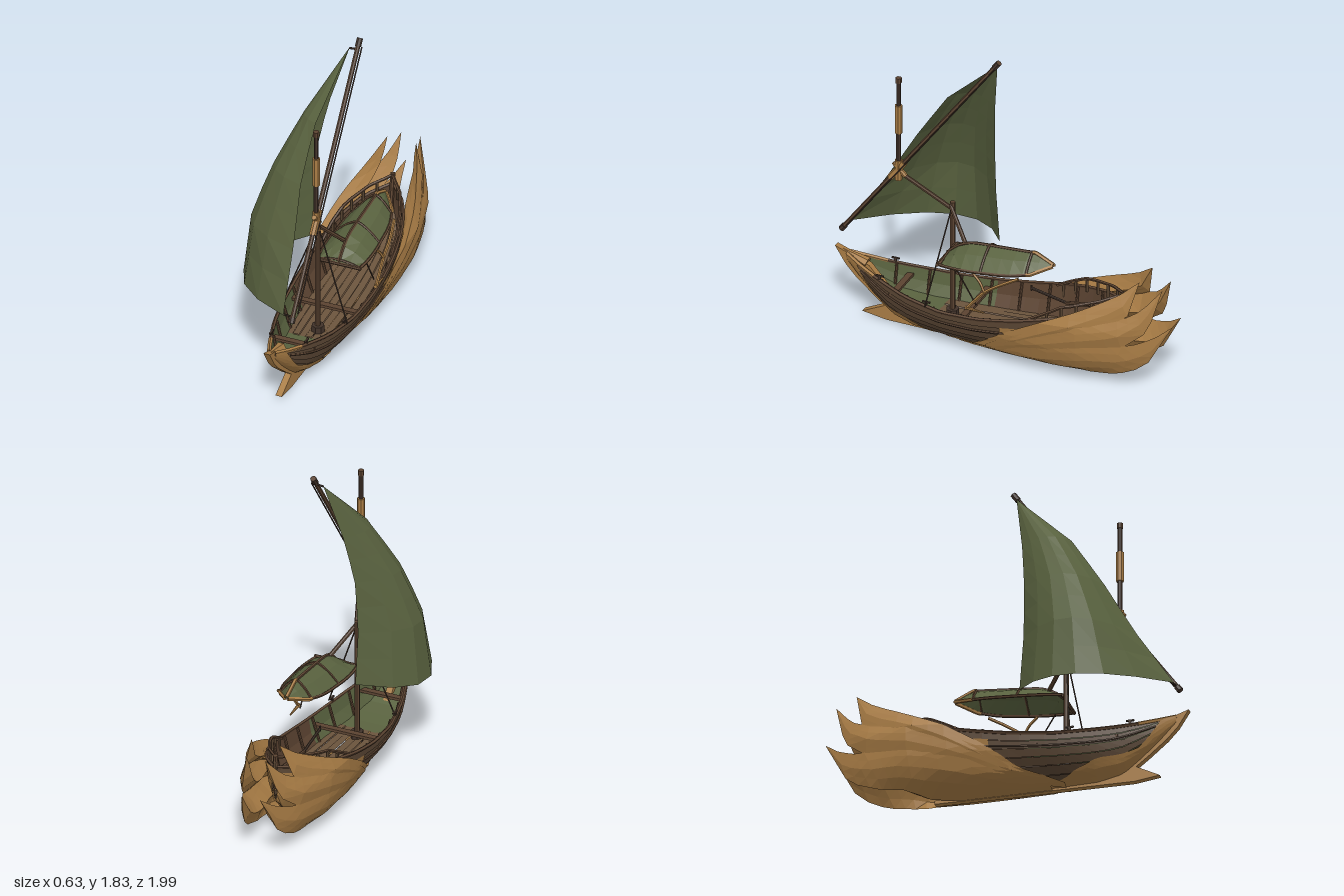
import * as THREE from 'three';

const material = (name, color) => {
  const m = new THREE.MeshStandardMaterial({ color, side: THREE.DoubleSide, flatShading: true });
  m.name = name;
  return m;
};
const V = (p) => new THREE.Vector3(...p);
const mix = (a, b, t) => a + (b - a) * t;

// Piecewise linear lookup: rows are [key, value...] with rising keys
function lookup(rows, k) {
  if (k <= rows[0][0]) return rows[0].slice(1);
  for (let i = 1; i < rows.length; i++) {
    const a = rows[i - 1], b = rows[i];
    if (k <= b[0]) return a.slice(1).map((q, j) => mix(q, b[j + 1], (k - a[0]) / (b[0] - a[0])));
  }
  return rows[rows.length - 1].slice(1);
}

// Hull stations: z, half width, sheer height, keel height
const STATIONS = [
  [-0.69, 0.008, 0.44, 0.25], [-0.58, 0.1, 0.415, 0.12], [-0.45, 0.16, 0.385, 0.05],
  [-0.3, 0.2, 0.35, 0.02], [-0.1, 0.217, 0.3, 0.01], [0.1, 0.217, 0.265, 0.01],
  [0.3, 0.202, 0.25, 0.01], [0.5, 0.165, 0.26, 0.015], [0.64, 0.122, 0.28, 0.045],
  [0.74, 0.088, 0.3, 0.125], [0.84, 0.052, 0.325, 0.215], [0.93, 0.015, 0.352, 0.31],
];
const SECTION = [[0, 0], [0.18, 0.52], [0.45, 0.8], [0.72, 0.95], [1, 1]];
// Wing half width along z and its narrowing with height
const WING_PLAN = [[-1, 0.05], [-0.74, 0.17], [-0.5, 0.23], [-0.3, 0.243], [-0.1, 0.237], [0.05, 0.228], [0.35, 0.197]];
const WING_RISE = [[0, 0.05], [0.02, 0.3], [0.05, 0.52], [0.08, 0.68], [0.2, 0.89], [0.36, 1], [0.5, 0.85], [0.65, 0.6]];

function hullPoint(z, g, side, out = 0) {
  const [w, top, keel] = lookup(STATIONS, z);
  const x = Math.max(0, w * lookup(SECTION, g)[0] + out);
  return [side * x, keel + (top - keel) * g, z];
}
// Half width of the hull at a given height
function hullHalf(z, y) {
  const [, top, keel] = lookup(STATIONS, z);
  return hullPoint(z, (y - keel) / (top - keel), 1)[0];
}

export function createModel() {
  const gold = material('golden wood', 0xa87c45);
  const plank = material('hull wood', 0x584432);
  const deckWood = material('deck wood', 0x6b543d);
  const trim = material('trim wood', 0x5b4331);
  const dark = material('dark pole', 0x42332a);
  const green = material('green cloth', 0x59623f);

  const model = new THREE.Group();
  const hull = new THREE.Group();
  hull.name = 'hull';
  hull.position.x = 0.047;
  model.add(hull);

  const add = (geo, mat, name, parent = model) => {
    const m = new THREE.Mesh(geo, mat);
    m.name = name;
    parent.add(m);
    return m;
  };
  // Surface swept by fn(u, v) -> [x, y, z]
  const patch = (fn, nu, nv, mat, name, parent = model) => {
    const pos = [], idx = [];
    for (let i = 0; i <= nu; i++) for (let j = 0; j <= nv; j++) pos.push(...fn(i / nu, j / nv));
    for (let i = 0; i < nu; i++) for (let j = 0; j < nv; j++) {
      const a = i * (nv + 1) + j, b = a + nv + 1;
      idx.push(a, b, a + 1, b, b + 1, a + 1);
    }
    const geo = new THREE.BufferGeometry();
    geo.setAttribute('position', new THREE.Float32BufferAttribute(pos, 3));
    geo.setIndex(idx);
    geo.computeVertexNormals();
    return add(geo, mat, name, parent);
  };
  const rod = (a, b, r, mat, name, parent = model, r2 = r) => {
    const p = V(a), d = V(b).sub(p);
    const m = add(new THREE.CylinderGeometry(r2, r, d.length(), 7), mat, name, parent);
    m.position.copy(p).addScaledVector(d, 0.5);
    m.quaternion.setFromUnitVectors(new THREE.Vector3(0, 1, 0), d.normalize());
    return m;
  };
  const tube = (pts, r, mat, name, parent = model) =>
    add(new THREE.TubeGeometry(new THREE.CatmullRomCurve3(pts.map(V)), 24, r, 5), mat, name, parent);
  const box = (w, h, d, x, y, z, mat, name, parent = model) => {
    const m = add(new THREE.BoxGeometry(w, h, d), mat, name, parent);
    m.position.set(x, y, z);
    return m;
  };

  // Feathers of the wings as upper and lower edges of [z, y]
  const FEATHERS = [
    { up: [[0.33, 0.02], [0.1, 0.09], [0, 0.17], [-0.1, 0.24], [-0.3, 0.36], [-0.5, 0.455], [-0.7, 0.56], [-0.81, 0.65]],
      low: [[0.33, 0.005], [0.1, 0.03], [-0.05, 0.08], [-0.15, 0.14], [-0.3, 0.22], [-0.5, 0.32], [-0.76, 0.43], [-0.81, 0.65]], out: 0.006 },
    { up: [[0.05, 0.1], [-0.1, 0.21], [-0.3, 0.31], [-0.5, 0.375], [-0.7, 0.42], [-0.83, 0.49], [-0.93, 0.61]],
      low: [[0.05, 0.05], [-0.1, 0.08], [-0.3, 0.13], [-0.5, 0.2], [-0.72, 0.25], [-0.87, 0.37], [-0.93, 0.61]], out: 0.014 },
    { up: [[0.25, 0.03], [0, 0.07], [-0.2, 0.17], [-0.4, 0.25], [-0.6, 0.275], [-0.78, 0.28], [-0.9, 0.33], [-0.99, 0.4]],
      low: [[0.25, 0], [0, 0], [-0.2, 0], [-0.4, 0.01], [-0.55, 0.055], [-0.68, 0.07], [-0.85, 0.14], [-0.99, 0.4]], out: 0.02 },
  ];
  const edgeAt = (pts, u) => lookup(pts.map((p, i) => [i / (pts.length - 1), ...p]), u);
  // Upper limit of the golden bow cheeks
  const CHEEK = [[0, 0.04], [0.33, 0.1], [0.52, 0.38], [0.63, 0.36], [0.74, 0.28], [0.8, 0.42], [0.865, 1]];

  for (const s of [1, -1]) {
    // Lapped strakes
    for (let k = 0; k < 6; k++) patch((u, v) =>
      hullPoint(mix(-0.69, 0.93, u), (k + v) / 6, s, k ? 0.006 * (1 - v) : 0), 24, 1, plank, 'strake', hull);
    // Inner lining
    patch((u, v) => hullPoint(mix(-0.68, 0.15, u), mix(0.4, 1, v), s, -0.008), 10, 2, trim, 'aftLining', hull);
    patch((u, v) => hullPoint(mix(0.15, 0.9, u), mix(0.4, 1, v), s, -0.008), 8, 2, green, 'foreLining', hull);
    // Golden shell under the stern
    patch((u, v) => hullPoint(mix(-0.7, -0.05, u), v * 0.85, s, 0.009), 10, 5, gold, 'sternShell', hull);
    // Rails
    const line = (g, a, b, out) => Array.from({ length: 14 }, (_, i) => hullPoint(mix(a, b, i / 13), g, s, out));
    tube(line(1, -0.69, 0.74, 0), 0.011, trim, 'sheerRail', hull);
    tube(line(1, 0.74, 0.93, 0), 0.012, gold, 'bowRail', hull);
    tube(line(0.72, -0.1, 0.83, 0.006), 0.006, trim, 'beltRail', hull);
    const raised = line(1, -0.69, -0.2, -0.012).map(([x, y, z], i) => [x, y + 0.06 * Math.min(1, (13 - i) / 5), z]);
    tube(raised, 0.009, trim, 'sternRail', hull);
    raised.filter((_, i) => i % 2 === 0).forEach(([x, y, z]) =>
      rod([x, y - 0.08, z], [x, y, z], 0.009, deckWood, 'railPost', hull));
    // Frames inside the hull
    for (let z = -0.5; z < 0.75; z += 0.17)
      rod(hullPoint(z, 0.45, s, -0.012), hullPoint(z, 1, s, -0.012), 0.008, trim, 'frame', hull);
    // Golden bow cheeks
    patch((u, v) => {
      const z = mix(0, 0.93, u);
      return hullPoint(z, v * lookup(CHEEK, z)[0], s, 0.011);
    }, 24, 4, gold, 'bowCheek', hull);
    // Layered wing feathers, each a lens with an outer and an inner face, kept outside the hull
    for (const f of FEATHERS) for (const thick of [0.014, -0.09]) {
      patch((u, v) => {
        const a = edgeAt(f.low, u), b = edgeAt(f.up, u);
        const z = mix(a[0], b[0], v), y = mix(a[1], b[1], v);
        const half = lookup(WING_PLAN, z)[0] * lookup(WING_RISE, y)[0];
        const fold = thick * (1 - Math.abs(2 * v - 1)) * Math.sin(Math.PI * u ** 1.4);
        const x = half + f.out * Math.min(1, y / 0.06) * (1 - u) + fold;
        return [s * Math.max(x, y > 0.06 ? hullHalf(z, y) + 0.01 : 0), y, z];
      }, 16, 4, gold, 'wingFeather', hull);
    }
    // Cleats
    for (const z of [0.39, 0.7]) {
      const [x, y] = hullPoint(z, 1, s);
      box(0.012, 0.02, 0.012, x, y + 0.015, z, dark, 'cleatPost', hull);
      box(0.01, 0.008, 0.045, x, y + 0.026, z, dark, 'cleat', hull);
    }
  }

  // Deck planks with narrow gaps, and a green fore deck
  for (let k = 0; k < 8; k++) patch((u, v) => {
    const p = hullPoint(mix(-0.66, 0.4, u), 0.45, 1, -0.004);
    return [p[0] * (-1 + (k + 0.04 + 0.92 * v) / 4), p[1] + (k % 2) * 0.004, p[2]];
  }, 10, 1, deckWood, 'deckPlank', hull);
  patch((u, v) => {
    const p = hullPoint(mix(0.4, 0.9, u), 0.45, 1, -0.004);
    return [p[0] * (2 * v - 1), p[1], p[2]];
  }, 6, 1, green, 'foreDeck', hull);
  for (const z of [0.2, 0.62]) {
    const p = hullPoint(z, 0.8, 1);
    box(p[0] * 2, 0.016, 0.035, 0, p[1], z, trim, 'thwart', hull);
  }

  // Stem with beak and lower prong, and keel
  const stem = new THREE.Shape();
  [[1, 0.385], [0.9, 0.35], [0.8, 0.31], [0.7, 0.2], [0.6, 0.09], [0.3, 0.03], [-0.4, 0.02], [-0.4, 0],
    [0.7, 0], [0.84, 0.02], [0.77, 0.055], [0.71, 0.085], [0.78, 0.14], [0.88, 0.225], [0.94, 0.29]]
    .forEach(([z, y], i) => (i ? stem.lineTo(z, y) : stem.moveTo(z, y)));
  const stemGeo = new THREE.ExtrudeGeometry(stem, { depth: 0.036, bevelEnabled: false });
  stemGeo.translate(0, 0, -0.018).rotateY(-Math.PI / 2);
  add(stemGeo, gold, 'stemAndKeel', hull);
  rod([0, 0.31, 0.82], [0, 0.37, 0.98], 0.036, gold, 'beakCap', hull, 0.006);
  rod([0, 0.3, -0.66], [0, 0.51, -0.69], 0.014, trim, 'sternPost', hull);

  // Lower mast and slanting struts
  rod([0.05, 0.1, 0.32], [0.05, 0.82, 0.32], 0.015, trim, 'lowerMast');
  rod([0.05, 0.1, 0.32], [0.05, 0.16, 0.32], 0.035, dark, 'mastStep');
  rod([0.155, 1, 0.585], [0.055, 0.78, 0.32], 0.012, trim, 'strut');
  rod([0.055, 0.8, 0.33], [0.15, 0.65, 0.2], 0.012, trim, 'canopyStrut');
  // Upper mast in stacked lengths
  [[0.95, 1.07, 0.021, gold], [1.07, 1.24, 0.014, dark], [1.24, 1.41, 0.021, gold], [1.41, 1.55, 0.013, dark], [1.55, 1.58, 0.017, trim]]
    .forEach(([a, b, r, m]) => rod([0.155, a, 0.587], [0.155, b, 0.587], r, m, 'upperMast'));

  // Yard with lashings and ropes
  const yard = (t) => [0.155, mix(0.56, 1.82, t), mix(0.92, 0, t)];
  rod(yard(0), yard(1), 0.013, trim, 'yard');
  rod(yard(0), yard(0.02), 0.018, dark, 'yardEnd');
  rod(yard(0.97), yard(1), 0.017, dark, 'yardEnd');
  rod(yard(0.31), yard(0.4), 0.019, gold, 'yardLashing');
  rod([0.155, 0.98, 0.545], [0.155, 1.05, 0.615], 0.014, gold, 'yardLashing');
  rod([0.175, 1.78, 0.02], [0.175, 0.6, 0.88], 0.004, dark, 'halyard');
  rod([0.155, 1.77, 0.035], [0.11, 1.765, 0.035], 0.006, dark, 'sailTie');
  rod([0.155, 0.59, 0.9], [0.1, 0.585, 0.89], 0.006, dark, 'sailTie');
  rod([0.05, 0.8, 0.32], [0.25, 0.26, 0.39], 0.004, dark, 'stay');
  rod([0.05, 0.8, 0.32], [-0.14, 0.26, 0.39], 0.004, dark, 'stay');

  // Billowing sail: rows of leech, belly and luff points from foot to peak
  const SAIL = [
    [0, -0.05, 0.575, 0.09, -0.315, 0.505, 0.47, 0.1, 0.585, 0.9],
    [0.27, -0.055, 0.9, 0.115, -0.28, 0.88, 0.44, 0.07, 0.9, 0.69],
    [0.52, -0.035, 1.2, 0.112, -0.175, 1.19, 0.36, 0.04, 1.2, 0.52],
    [0.75, 0.02, 1.45, 0.085, -0.06, 1.45, 0.245, 0.05, 1.46, 0.35],
    [1, 0.11, 1.77, 0.03, 0.11, 1.77, 0.03, 0.11, 1.77, 0.03],
  ];
  patch((u, v) => {
    const r = lookup(SAIL, u);
    const a = (1 - v) * (1 - 2 * v), b = 4 * v * (1 - v), c = v * (2 * v - 1);
    return [0, 1, 2].map((i) => a * r[i] + b * r[i + 3] + c * r[i + 6]);
  }, 8, 6, green, 'sail');

  // Canopy: leaf shaped roof rows of z, half width, edge height, ridge height
  const ROOF = [[-0.32, 0.008, 0.645, 0.652], [-0.22, 0.085, 0.61, 0.7], [-0.1, 0.122, 0.592, 0.69],
    [0.1, 0.135, 0.575, 0.675], [0.2, 0.135, 0.568, 0.66], [0.3, 0.12, 0.563, 0.575]];
  const roofPoint = (z, v) => {
    const [w, edge, ridge] = lookup(ROOF, z), q = Math.abs(v);
    return [0.16 + w * v, mix(ridge, edge, q < 0.5 ? q * 0.7 : 0.35 + (q - 0.5) * 1.3), z];
  };
  patch((u, v) => roofPoint(mix(-0.32, 0.3, u), 2 * v - 1), 9, 4, green, 'canopyCloth');
  for (const v of [-1, 0, 1]) {
    const rail = (a, b) => Array.from({ length: 8 }, (_, i) => roofPoint(mix(a, b, i / 7), v));
    tube(rail(-0.2, 0.3), 0.009, trim, 'canopyRail');
    tube(rail(-0.32, -0.2), 0.011, gold, 'canopyTipRail');
  }
  for (const z of [-0.2, 0.05, 0.29])
    tube([-1, -0.5, 0, 0.5, 1].map((v) => roofPoint(z, v)), 0.007, trim, 'canopyBow');
  rod([0.05, 0.565, 0.3], [0.29, 0.565, 0.3], 0.01, trim, 'canopyCrossbar');

  // Curved golden bracket with claw foot
  tube([[0.28, 0.59, -0.17], [0.3, 0.53, -0.06], [0.3, 0.47, 0.02], [0.3, 0.4, 0.08], [0.3, 0.35, 0.12]], 0.009, gold, 'bracket');
  tube([[0.3, 0.47, 0.02], [0.29, 0.52, 0.05], [0.28, 0.565, 0.1]], 0.008, gold, 'bracketArm');
  rod([0.3, 0.35, 0.13], [0.3, 0.343, 0.02], 0.011, gold, 'bracketFoot', model, 0.004);
  rod([0.27, 0.56, 0.2], [0.27, 0.36, 0.08], 0.004, dark, 'canopyRope');

  // Tiller
  rod([0.047, 0.4, -0.14], [0.047, 0.36, -0.34], 0.008, dark, 'tiller');
  rod([0.047, 0.36, -0.34], [0.047, 0.4, -0.62], 0.01, trim, 'tillerArm');
  rod([0.047, 0.385, -0.14], [0.047, 0.415, -0.14], 0.006, dark, 'tillerGrip');

  return model;
}
